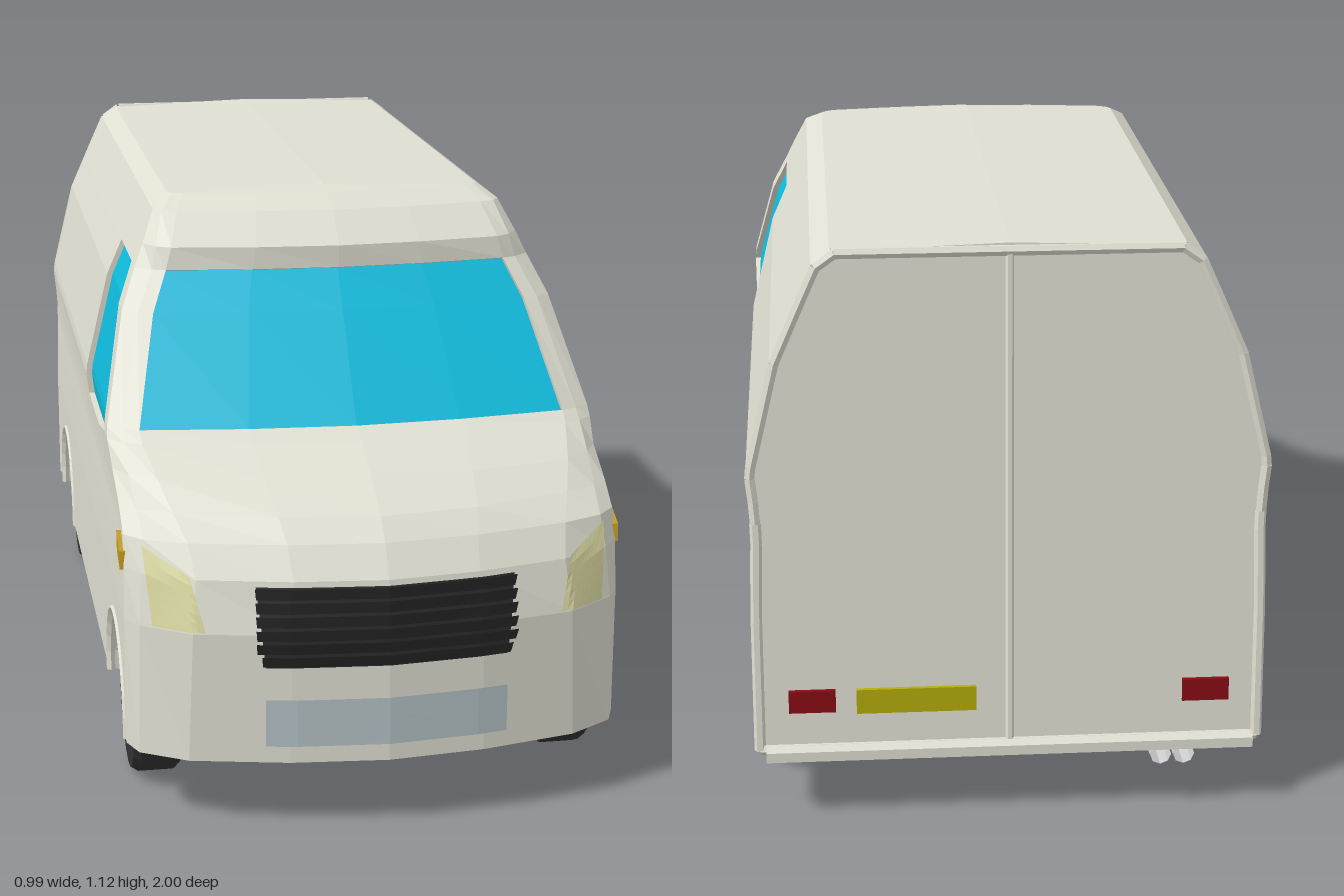
import * as THREE from 'three';

const mat = (color) => new THREE.MeshStandardMaterial({ color, side: THREE.DoubleSide, flatShading: true });
const PAINT = mat(0xdfdfd2), GLASS = mat(0x0fbbdc), DARK = mat(0x2c2c2c), TYRE = mat(0x333333);
const METAL = mat(0xcccccc), LAMP = mat(0xd9d7a0), AMBER = mat(0xc29a22), RED = mat(0x8a0a14);
const PLATE = mat(0xb4c2c6), YELLOW = mat(0xb5ad0c), FLOOR = mat(0xaaaa9e);

// Horizontal sections: y, half width, window front z, side front z, corner x z, front x z, nose z
const ROWS = [
  [0.14, 0.49, 0.33, 0.82, 0.47, 0.87, 0.38, 0.925, 0.985],
  [0.40, 0.49, 0.33, 0.82, 0.465, 0.865, 0.37, 0.93, 0.982],
  [0.50, 0.488, 0.33, 0.81, 0.457, 0.85, 0.36, 0.905, 0.965],
  [0.56, 0.486, 0.33, 0.79, 0.45, 0.83, 0.37, 0.865, 0.925],
  [0.60, 0.487, 0.33, 0.73, 0.455, 0.765, 0.39, 0.80, 0.885],
  [0.645, 0.49, 0.33, 0.635, 0.463, 0.685, 0.41, 0.73, 0.79],
  [0.69, 0.495, 0.53, 0.585, 0.465, 0.615, 0.43, 0.635, 0.69],
  [0.71, 0.493, 0.515, 0.57, 0.463, 0.59, 0.432, 0.605, 0.645],
  [0.91, 0.445, 0.353, 0.42, 0.415, 0.445, 0.385, 0.455, 0.49],
  [0.985, 0.412, 0.30, 0.36, 0.38, 0.39, 0.352, 0.40, 0.43],
  [1.03, 0.392, 0.29, 0.34, 0.37, 0.375, 0.34, 0.395, 0.43],
  [1.09, 0.365, 0.27, 0.29, 0.35, 0.315, 0.32, 0.325, 0.36],
  [1.115, 0.33, 0.22, 0.235, 0.32, 0.25, 0.30, 0.26, 0.29],
  [1.125, 0, 0.2, 0.21, 0, 0.22, 0, 0.23, 0.25],
];
const rearZ = (y) => -0.965 + (y - 0.14) * 0.055;
const V = (x, y, z) => new THREE.Vector3(x, y, z);
const RINGS = ROWS.map(([y, w, wf, zs, x4, z4, x5, z5, z6]) => [
  V(w, y, rearZ(y)), V(w, y, 0.085), V(w, y, wf), V(w, y, zs), V(x4, y, z4),
  V(x5, y, z5), V(x5 * 0.5, y, z6 - (z6 - z5) * 0.3), V(0, y, z6),
]);

const WHEEL_Z = [0.62, -0.68], AXLE_Y = 0.155, ARCH_R = 0.18, BASE = 0.14;
const ARCH_W = Math.sqrt(ARCH_R ** 2 - (AXLE_Y - BASE) ** 2);
const ARCH_A = Math.asin((AXLE_Y - BASE) / ARCH_R);

function add(parent, name, geometry, material) {
  const m = new THREE.Mesh(geometry, material);
  m.name = name;
  parent.add(m);
  return m;
}
function box(parent, name, material, size, pos) {
  const m = add(parent, name, new THREE.BoxGeometry(...size), material);
  m.position.set(...pos);
  return m;
}
// Flat shaded geometry from four-cornered faces
function quads(list) {
  const p = [];
  for (const [a, b, c, d] of list) for (const v of [a, b, c, a, c, d]) p.push(v.x, v.y, v.z);
  const g = new THREE.BufferGeometry();
  g.setAttribute('position', new THREE.Float32BufferAttribute(p, 3));
  g.computeVertexNormals();
  return g;
}
const mirrorQuads = (list) => list.map((q) => q.map((v) => V(-v.x, v.y, v.z)).reverse());

const isSideWindow = (i, j) => j === 1 && i >= 5 && i <= 8;
const isWindscreen = (i, j) => j >= 5 && i >= 7 && i <= 8;
const isArchPanel = (i, j) => j <= 2 && i === 0;
const cell = (i, j) => [RINGS[i][j], RINGS[i + 1][j], RINGS[i + 1][j + 1], RINGS[i][j + 1]];

function eachCell(fn) {
  for (let i = 0; i < RINGS.length - 1; i++) for (let j = 0; j < 7; j++) fn(i, j);
}
// Recessed pane and the reveal around it
function pane(test, shift) {
  const glass = [], reveal = [];
  eachCell((i, j) => {
    if (!test(i, j)) return;
    const c = cell(i, j), inner = c.map((v) => v.clone().add(shift));
    glass.push(inner);
    [[i, j - 1], [i + 1, j], [i, j + 1], [i - 1, j]].forEach(([ni, nj], k) => {
      if (nj > 6 || test(ni, nj)) return;
      const n = (k + 1) % 4;
      reveal.push([c[k], c[n], inner[n], inner[k]]);
    });
  });
  return { glass, reveal };
}

// Point on the nose surface at a given x and y, pushed out by d
function nose(x, y, d) {
  let i = 0;
  while (i < ROWS.length - 2 && ROWS[i + 1][0] < y) i++;
  const t = (y - ROWS[i][0]) / (ROWS[i + 1][0] - ROWS[i][0]);
  const line = RINGS[i].map((p, j) => p.clone().lerp(RINGS[i + 1][j], t));
  const ax = Math.abs(x);
  let j = 3;
  while (j < 6 && line[j + 1].x > ax) j++;
  const s = (line[j].x - ax) / (line[j].x - line[j + 1].x);
  return V(x + Math.sign(x) * d * ax, y, THREE.MathUtils.lerp(line[j].z, line[j + 1].z, s) + d);
}
// Panel laid over the nose: corners in order bottom a, bottom b, top b, top a
function nosePanel(parent, name, material, [a, b, c, e], d0, d1 = d0, nu = 8, nv = 6) {
  const L = THREE.MathUtils.lerp;
  const at = (u, v) => nose(L(L(a[0], b[0], u), L(e[0], c[0], u), v),
    L(L(a[1], b[1], u), L(e[1], c[1], u), v), L(d0, d1, v));
  const list = [];
  for (let i = 0; i < nu; i++) for (let j = 0; j < nv; j++) {
    list.push([at(i / nu, j / nv), at((i + 1) / nu, j / nv), at((i + 1) / nu, (j + 1) / nv), at(i / nu, (j + 1) / nv)]);
  }
  add(parent, name, quads(list), material);
}

function buildBody(van) {
  const shell = [];
  eachCell((i, j) => {
    if (!isSideWindow(i, j) && !isWindscreen(i, j) && !isArchPanel(i, j)) shell.push(cell(i, j));
  });
  const side = pane(isSideWindow, V(-0.012, 0, 0)), screen = pane(isWindscreen, V(0, -0.004, -0.014));
  shell.push(...side.reveal, ...screen.reveal);
  const rear = RINGS.slice(0, -1).map((r, i) => {
    const a = r[0], b = RINGS[i + 1][0];
    return [V(-a.x, a.y, a.z), V(-b.x, b.y, b.z), b, a];
  });
  add(van, 'bodyShell', quads([...shell, ...mirrorQuads(shell)]), PAINT);
  add(van, 'rearDoors', quads(rear), PAINT);
  add(van, 'sideWindows', quads([...side.glass, ...mirrorQuads(side.glass)]), GLASS);
  add(van, 'windscreen', quads([...screen.glass, ...mirrorQuads(screen.glass)]), GLASS);

  // Lower side panels with wheel arches
  const s = new THREE.Shape();
  s.moveTo(0.82, 0.4);
  s.lineTo(0.82, BASE);
  for (const z of WHEEL_Z) s.absarc(z, AXLE_Y, ARCH_R, -ARCH_A, Math.PI + ARCH_A, false);
  s.lineTo(rearZ(BASE), BASE);
  s.lineTo(rearZ(0.4), 0.4);
  for (const x of [-0.49, 0.49]) {
    add(van, 'lowerSide', new THREE.ShapeGeometry(s, 14).rotateY(-Math.PI / 2), PAINT).position.x = x;
  }

  // Floor with wheel cutouts
  const half = [[0.49, rearZ(BASE)]];
  for (const z of [...WHEEL_Z].reverse()) {
    half.push([0.49, z - ARCH_W], [0.32, z - ARCH_W], [0.32, z + ARCH_W], [0.49, z + ARCH_W]);
  }
  for (const p of RINGS[0].slice(3)) half.push([p.x, p.z]);
  const outline = [...half, ...half.slice(0, -1).reverse().map(([x, z]) => [-x, z])];
  const floor = new THREE.Shape(outline.map(([x, z]) => new THREE.Vector2(x, z)));
  add(van, 'floor', new THREE.ShapeGeometry(floor).rotateX(Math.PI / 2), FLOOR).position.y = BASE;
}

function buildWheel(van, side, z) {
  const g = new THREE.Group();
  g.name = 'wheel';
  const profile = [[0, -0.05], [0.14, -0.05], [0.155, -0.035], [0.155, 0.035], [0.145, 0.05], [0.09, 0.05], [0.085, 0.035], [0, 0.035]];
  add(g, 'tyre', new THREE.LatheGeometry(profile.map(([r, y]) => new THREE.Vector2(r, y)), 20), TYRE);
  add(g, 'rim', new THREE.TorusGeometry(0.084, 0.006, 4, 20).rotateX(Math.PI / 2), METAL).position.y = 0.045;
  add(g, 'hub', new THREE.CylinderGeometry(0.016, 0.02, 0.02, 10), METAL).position.y = 0.042;
  for (let k = 0; k < 10; k++) {
    const spoke = new THREE.BoxGeometry(0.07, 0.01, 0.022).translate(0.05, 0.042, 0).rotateY(k * Math.PI / 5);
    add(g, 'spoke', spoke, METAL);
  }
  g.rotation.z = -side * Math.PI / 2;
  g.position.set(side * 0.42, AXLE_Y, z);
  van.add(g);

  // Arch lip, liner and inner wall
  const sweep = Math.PI + 2 * ARCH_A;
  const lip = add(van, 'archLip', new THREE.TorusGeometry(ARCH_R, 0.009, 4, 14, sweep).rotateZ(-ARCH_A).rotateY(-Math.PI / 2), PAINT);
  lip.position.set(side * 0.486, AXLE_Y, z);
  const liner = new THREE.CylinderGeometry(ARCH_R, ARCH_R, 0.17, 14, 1, true, -Math.PI / 2 - ARCH_A, sweep)
    .rotateX(-Math.PI / 2).rotateY(Math.PI / 2);
  // Keep the arc opening downward
  liner.computeBoundingBox();
  if (liner.boundingBox.max.y < ARCH_R * 0.9) liner.rotateX(Math.PI);
  add(van, 'archLiner', liner, PAINT).position.set(side * 0.405, AXLE_Y, z);
  const wall = new THREE.CircleGeometry(ARCH_R, 14, -ARCH_A, sweep).rotateY(-Math.PI / 2);
  add(van, 'archWall', wall, PAINT).position.set(side * 0.32, AXLE_Y, z);
}

function buildFront(van) {
  for (const s of [-1, 1]) {
    nosePanel(van, 'headlight', LAMP, [[s * 0.345, 0.405], [s * 0.44, 0.405], [s * 0.453, 0.55], [s * 0.37, 0.505]], 0.005);
    // Side indicator
    const d = new THREE.Shape([[0.81, 0.495], [0.805, 0.53], [0.75, 0.555], [0.755, 0.515]].map((p) => new THREE.Vector2(...p)));
    const g = new THREE.ExtrudeGeometry(d, { depth: 0.016, bevelEnabled: false }).rotateY(-Math.PI / 2);
    add(van, 'indicator', g, AMBER).position.x = s * 0.487 + 0.008;
  }
  nosePanel(van, 'grilleBack', DARK, [[-0.235, 0.335], [0.235, 0.335], [0.25, 0.49], [-0.25, 0.49]], 0.003);
  for (let k = 0; k < 6; k++) {
    const y = 0.337 + k * 0.026, w = k === 0 ? 0.24 : 0.25;
    nosePanel(van, 'grilleSlat', DARK, [[-w, y], [w, y], [w, y + 0.024], [-w, y + 0.024]], 0.005, 0.016, 8, 1);
  }
  nosePanel(van, 'frontPlate', PLATE, [[-0.235, 0.175], [0.235, 0.175], [0.235, 0.27], [-0.235, 0.27]], 0.005);
}

function buildRear(van) {
  // Raised door frame and centre seam
  const edge = RINGS.slice(0, 13).map((r) => V(r[0].x - 0.008, r[0].y - 0.004, r[0].z));
  const loop = [...edge, ...edge.map((v) => V(-v.x, v.y, v.z)).reverse()];
  loop.forEach((a, i) => {
    const b = loop[(i + 1) % loop.length];
    add(van, 'doorFrame', new THREE.TubeGeometry(new THREE.LineCurve3(a, b), 1, 0.011, 6), PAINT);
  });
  const seam = new THREE.LineCurve3(V(0, BASE, rearZ(BASE)), V(0, 1.11, rearZ(1.11)));
  add(van, 'doorSeam', new THREE.TubeGeometry(seam, 1, 0.008, 6), PAINT);

  const z = rearZ(0.235) - 0.002;
  for (const s of [-1, 1]) box(van, 'tailLight', RED, [0.09, 0.045, 0.012], [s * 0.38, 0.235, z]);
  box(van, 'rearPlate', YELLOW, [0.23, 0.05, 0.01], [0.18, 0.232, z]);
  box(van, 'rearSill', PAINT, [0.94, 0.02, 0.06], [0, 0.135, -0.97]);

  // Twin exhaust
  for (const x of [-0.335, -0.29]) {
    const pipe = new THREE.CylinderGeometry(0.021, 0.021, 0.085, 8, 1, true).rotateX(Math.PI / 2);
    add(van, 'exhaustPipe', pipe, METAL).position.set(x, 0.116, -0.957);
  }
}

export function createModel() {
  const van = new THREE.Group();
  van.name = 'van';
  buildBody(van);
  buildFront(van);
  buildRear(van);
  for (const side of [-1, 1]) for (const z of WHEEL_Z) buildWheel(van, side, z);
  return van;
}
